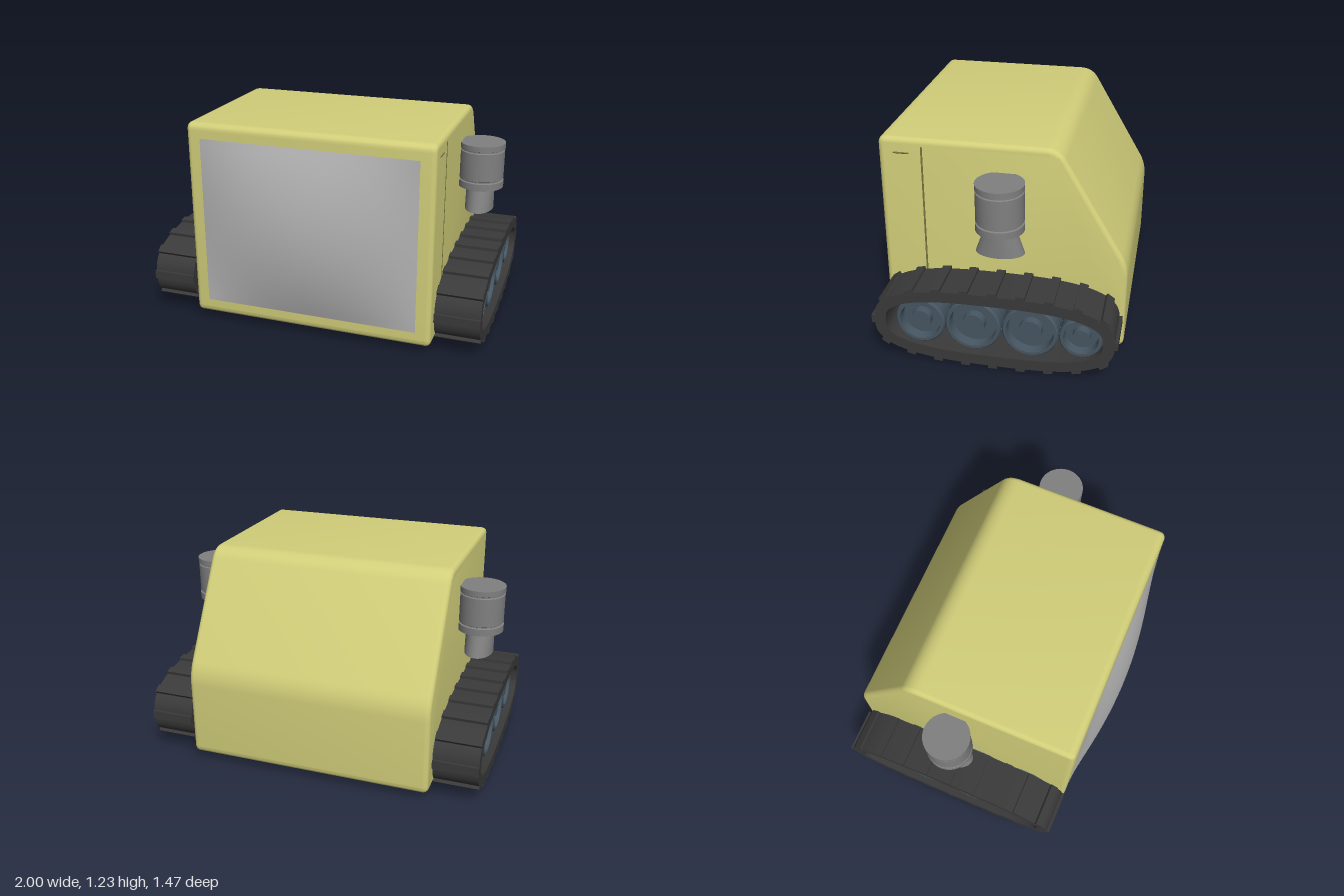
import * as THREE from 'three';
import { toCreasedNormals } from 'three/addons/utils/BufferGeometryUtils.js';

const material = (color, side = THREE.FrontSide) => new THREE.MeshStandardMaterial({ color, side });
const yellow = material(0xd2cf7a);
const seamYellow = material(0x77753f);
const screenGrey = material(0xb4b4b4, THREE.DoubleSide);
const metal = material(0x808080);
const rubber = material(0x3a3a3a);
const wheelBlue = material(0x465662);

function addMesh(parent, name, geometry, mat, x = 0, y = 0, z = 0) {
  const mesh = new THREE.Mesh(geometry, mat);
  mesh.name = name;
  mesh.position.set(x, y, z);
  parent.add(mesh);
  return mesh;
}

// Closed outline with rounded corners; each corner is [z, y, radius]
function roundedShape(corners) {
  const shape = new THREE.Shape();
  const n = corners.length;
  corners.forEach(([x, y, r], i) => {
    const p = new THREE.Vector2(x, y);
    const toward = ([qx, qy]) => new THREE.Vector2(qx, qy).sub(p).setLength(r).add(p);
    const a = toward(corners[(i + n - 1) % n]);
    const b = toward(corners[(i + 1) % n]);
    if (i === 0) shape.moveTo(a.x, a.y);
    else shape.lineTo(a.x, a.y);
    shape.quadraticCurveTo(x, y, b.x, b.y);
  });
  shape.closePath();
  return shape;
}

// Extrude a (z, y) outline across x, centred on x = 0
function extrudeAcross(shape, width, bevel) {
  const geometry = new THREE.ExtrudeGeometry(shape, {
    depth: width - 2 * bevel, bevelEnabled: bevel > 0, bevelThickness: bevel,
    bevelSize: bevel, bevelOffset: -bevel, bevelSegments: 5, curveSegments: 8,
  });
  geometry.translate(0, 0, -(width - 2 * bevel) / 2);
  geometry.rotateY(-Math.PI / 2);
  return toCreasedNormals(geometry, 0.5);
}

function lathe(profile, segments = 48) {
  const points = profile.map(([r, y]) => new THREE.Vector2(r, y));
  return toCreasedNormals(new THREE.LatheGeometry(points, segments), 0.5);
}

// Squashed oval used for the belt, as (z, y) points
const TRACK = { z: -0.037, y: 0.243 };
function ovalPoints(halfLength, halfHeight, count = 96) {
  const points = [];
  for (let i = 0; i < count; i++) {
    const t = (i / count) * Math.PI * 2;
    const c = Math.cos(t), s = Math.sin(t);
    points.push(new THREE.Vector2(
      TRACK.z + halfLength * Math.sign(c) * Math.abs(c) ** (2 / 2.8),
      TRACK.y + halfHeight * Math.sign(s) * Math.abs(s) ** (2 / 2.8)));
  }
  return points;
}

function createTrack(side) {
  const track = new THREE.Group();
  track.name = side > 0 ? 'leftTrack' : 'rightTrack';
  const centreX = side * 0.871, width = 0.257;

  // Belt loop
  const outline = ovalPoints(0.67, 0.226);
  const belt = new THREE.Shape(outline);
  belt.holes.push(new THREE.Path(ovalPoints(0.605, 0.162)));
  addMesh(track, 'belt', extrudeAcross(belt, width, 0), rubber, centreX);

  // Raised treads evenly spaced along the belt
  const loop = outline.map((p) => new THREE.Vector3(0, p.y, p.x));
  const curve = new THREE.CatmullRomCurve3(loop, true);
  curve.arcLengthDivisions = 800;
  const treadGeometry = new THREE.BoxGeometry(0.258, 0.034, 0.05);
  const count = 20;
  for (let i = 0; i < count; i++) {
    const p = curve.getPointAt(i / count);
    const d = curve.getTangentAt(i / count);
    const tread = addMesh(track, 'tread', treadGeometry, rubber, centreX, p.y, p.z);
    tread.rotation.x = Math.atan2(-d.y, d.z);
  }

  // Dished road wheels with a central hub: [z, y, radius]
  const wheels = [[0.38, 0.24, 0.14], [0.08, 0.245, 0.156], [-0.24, 0.245, 0.156], [-0.52, 0.24, 0.12]];
  for (const [z, y, r] of wheels) {
    const wheel = lathe([
      [0, 0.71], [r, 0.71], [r, 0.955], [r - 0.008, 0.965], [r - 0.024, 0.965],
      [r - 0.03, 0.91], [r * 0.42, 0.91], [r * 0.4, 0.955], [0, 0.955],
    ]);
    wheel.rotateZ(-side * Math.PI / 2);
    addMesh(track, 'wheel', wheel, wheelBlue, 0, y, z);
  }
  return track;
}

function createThruster(side) {
  const thruster = new THREE.Group();
  thruster.name = side > 0 ? 'leftThruster' : 'rightThruster';
  thruster.position.set(side * 0.843, 0, -0.055);

  // Banded canister
  addMesh(thruster, 'canister', lathe([
    [0, 0.805], [0.133, 0.805], [0.133, 0.846], [0.124, 0.85], [0.124, 0.856],
    [0.131, 0.86], [0.131, 1.027], [0.124, 1.031], [0.124, 1.037],
    [0.133, 1.041], [0.133, 1.073], [0, 1.073],
  ]), metal);

  // Nozzle flares along z only
  const nozzle = new THREE.CylinderGeometry(0.083, 0.083, 0.145, 40);
  const pos = nozzle.attributes.position;
  for (let i = 0; i < pos.count; i++) {
    if (pos.getY(i) < 0) pos.setZ(i, pos.getZ(i) * 1.62);
  }
  addMesh(thruster, 'nozzle', toCreasedNormals(nozzle, 0.6), metal, 0, 0.738, 0);
  return thruster;
}

export function createModel() {
  const model = new THREE.Group();
  model.name = 'trackedRobot';

  // Box body with a sloping back
  const profile = roundedShape([
    [0.645, 0.045, 0.045], [0.645, 1.228, 0.045], [-0.345, 1.228, 0.075],
    [-0.735, 0.57, 0.075], [-0.735, 0.045, 0.045],
  ]);
  addMesh(model, 'body', extrudeAcross(profile, 1.45, 0.03), yellow);

  // Bulging front screen
  const screen = new THREE.PlaneGeometry(1.28, 1.005, 32, 24);
  const pos = screen.attributes.position;
  for (let i = 0; i < pos.count; i++) {
    const u = pos.getX(i) / 0.64, v = pos.getY(i) / 0.5025;
    pos.setZ(i, 0.087 * (1 - u * u) * (1 - v * v));
  }
  screen.computeVertexNormals();
  addMesh(model, 'screen', screen, screenGrey, 0, 0.637, 0.648);

  // Panel seam and small slot on the left side
  addMesh(model, 'panelSeam', new THREE.BoxGeometry(0.004, 1.09, 0.01), seamYellow, 0.7245, 0.64, 0.4);
  const slot = new THREE.CapsuleGeometry(0.006, 0.08, 4, 10);
  slot.rotateX(Math.PI / 2);
  addMesh(model, 'slot', slot, seamYellow, 0.722, 1.142, 0.515);

  for (const side of [1, -1]) {
    model.add(createTrack(side), createThruster(side));
  }
  return model;
}
